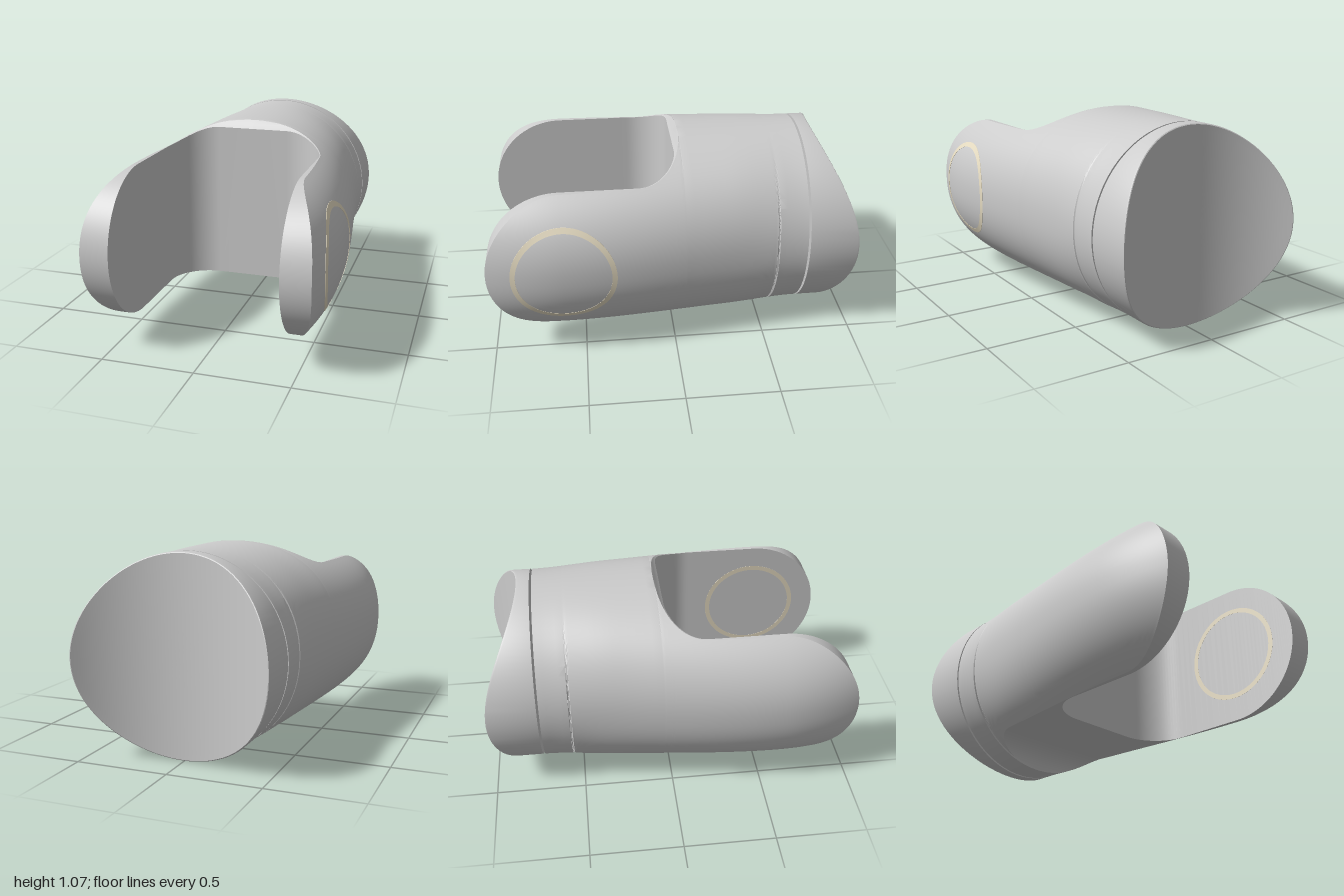
import * as THREE from 'three';
import { toCreasedNormals } from 'three/addons/utils/BufferGeometryUtils.js';

const CY = 0.535, H = 0.535;      // centre height and half height of the body
const SLOT_END = -0.02, SLOT_X = 0.435;
const V = (x, y, z) => new THREE.Vector3(x, y, z);
const spow = (v, p) => Math.sign(v) * Math.abs(v) ** p;

// Half width and roundness exponent of the body along z
function halfWidth(z) {
  if (z > 0.6) return 0.655 - 0.065 * ((z - 0.6) / 0.4) ** 2;
  return 0.53 + 0.125 * THREE.MathUtils.smoothstep(z, -0.715, 0.6);
}
const power = z => 2 + 0.2 * THREE.MathUtils.smoothstep(z, -0.715, -0.3);
const arc = (r, d) => r - Math.sqrt(Math.max(0, r * r - d * d));

// Point on the outer skin at angle t (-90..90 degrees) on the +x side
function skin(z, t) {
  const p = 2 / power(z);
  return V(halfWidth(z) * Math.max(0, Math.cos(t)) ** p, CY + H * spow(Math.sin(t), p), z);
}
function angleAt(z, y) {
  const v = THREE.MathUtils.clamp((y - CY) / H, -1, 1);
  return Math.abs(v) === 1 ? v * Math.PI / 2 : Math.asin(spow(v, power(z) / 2));
}

// Side outline: upper and lower limits at z
function limits(z) {
  if (z > 0.6) {
    const dy = 0.405 * Math.sqrt(Math.max(0, 1 - ((z - 0.6) / 0.4) ** 2));
    return [CY - dy, CY + dy];
  }
  const top = z > 0.18 ? 0.94 : z < -0.056 ? 1.07 : 0.94 + arc(0.28, 0.18 - z);
  const low = z > -0.4 ? 0.13 : z <= -0.5599 ? 0 : 0.13 - arc(0.163, -0.4 - z);
  return [Math.max(0, low), Math.min(1.07, top)];
}

// Half width of the fork slot
function slotWidth(z) {
  if (z >= 0.2) return SLOT_X;
  return 0.2 + 0.235 * Math.sqrt(Math.max(0, 1 - ((0.2 - z) / 0.22) ** 2));
}

// Add the triangles between neighbouring rows of points
function addGrid(out, rows, { mirror = false, skip = () => false } = {}) {
  const put = (a, b, c) => {
    const area = b.clone().sub(a).cross(c.clone().sub(a)).length();
    if (area < 1e-9) return;
    for (const p of mirror ? [a, c, b] : [a, b, c]) out.push(mirror ? -p.x : p.x, p.y, p.z);
  };
  for (let i = 0; i + 1 < rows.length; i++)
    for (let j = 0; j + 1 < rows[i].length; j++) {
      if (skip(i, j)) continue;
      const a = rows[i][j], b = rows[i][j + 1], c = rows[i + 1][j + 1], d = rows[i + 1][j];
      put(a, b, c);
      put(a, c, d);
    }
}

function makeMesh(name, positions, color = 0xcccccc) {
  const g = new THREE.BufferGeometry();
  g.setAttribute('position', new THREE.Float32BufferAttribute(positions, 3));
  const mesh = new THREE.Mesh(toCreasedNormals(g, 0.5), new THREE.MeshStandardMaterial({ color }));
  mesh.name = name;
  return mesh;
}

// Forked body: closed half sections along z, mirrored
function forkBody() {
  const N = 32, stations = [];
  const span = (a, b, n, ease = u => u) => {
    for (let i = 0; i < n; i++) stations.push(a + (b - a) * ease(i / n));
  };
  span(-0.715, -0.56, 4);
  span(-0.56, -0.4, 12);
  span(-0.4, -0.056, 8);
  span(-0.056, SLOT_END, 5);
  const first = stations.length;
  stations.push(SLOT_END);
  span(SLOT_END, 0.2, 20, u => 1 - Math.cos(u * Math.PI / 2));
  span(0.2, 0.6, 10);
  span(0.6, 1, 24, u => Math.sin(u * Math.PI / 2));
  stations.push(1);

  const rows = stations.map((z, i) => {
    const [low, top] = limits(z);
    const a = angleAt(z, low), b = angleAt(z, top), row = [];
    for (let j = 0; j <= N; j++) row.push(skin(z, a + (b - a) * j / N));
    const inner = i <= first ? 0 : Math.min(slotWidth(z), row[N].x - 0.003);
    row.push(V(inner, row[N].y, z), V(inner, row[0].y, z), row[0].clone());
    return row;
  });
  // no slot wall behind the slot's end
  const skip = (i, j) => j === N + 1 && i < first;

  const back = [0, 1].map(s => rows[0].slice(0, N + 1)
    .map(p => V(p.x * s, CY + (p.y - CY) * s, p.z)));
  const out = [];
  for (const mirror of [false, true]) {
    addGrid(out, rows, { mirror, skip });
    addGrid(out, back, { mirror });
  }
  return makeMesh('forkBody', out);
}

// Rear collar with a concave saddle end
function saddleCollar() {
  const N = 96, R = 0.787;
  const end = x => -1.585 + Math.sqrt(R * R - x * x);
  const ring = (s, zOf) => Array.from({ length: N + 1 }, (_, j) => {
    const t = j / N * Math.PI * 2, x = 0.53 * s * Math.cos(t);
    return V(x, CY + H * s * Math.sin(t), zOf(x));
  });
  const rows = [];
  for (let k = 0; k <= 16; k++) rows.push(ring(0.988 * k / 16, end));
  rows.push(ring(0.996, x => end(x) + 0.004), ring(1, x => end(x) + 0.014));
  rows.push(ring(1, () => -0.727), ring(0, () => -0.727));
  const out = [];
  addGrid(out, rows);
  return makeMesh('saddleCollar', out);
}

// Thin inlaid ring passing through the left arm
function inlayRing() {
  const N = 80, rows = [];
  for (let i = 0; i <= N; i++) {
    const t = i / N * Math.PI * 2;
    const at = (r, outer) => {
      const y = CY + 0.005 + r * Math.sin(t), z = 0.595 + r * Math.cos(t);
      return V(outer ? skin(z, angleAt(z, y)).x + 0.002 : SLOT_X - 0.001, y, z);
    };
    rows.push([at(0.25, false), at(0.277, false), at(0.277, true), at(0.25, true), at(0.25, false)]);
  }
  const out = [];
  addGrid(out, rows.reverse());
  return makeMesh('inlayRing', out, 0xe6dcc2);
}

export function createModel() {
  const model = new THREE.Group();
  model.name = 'forkedConnector';
  const ring = inlayRing();
  ring.material.side = THREE.DoubleSide;
  model.add(forkBody(), saddleCollar(), ring);
  return model;
}
